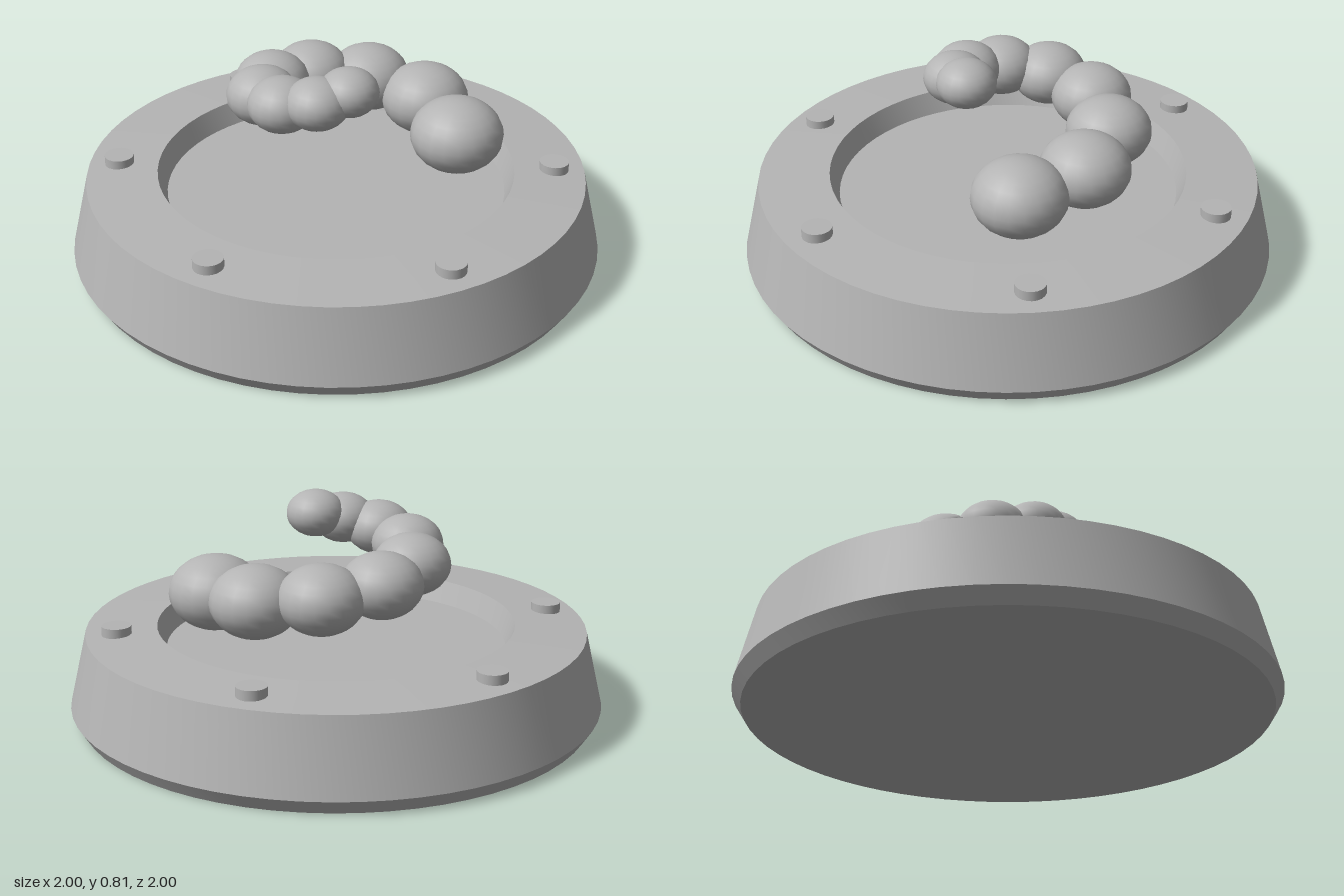
import * as THREE from 'three';
import { toCreasedNormals } from 'three/addons/utils/BufferGeometryUtils.js';

const grey = new THREE.MeshStandardMaterial({ color: 0xb4b4b4 });
grey.name = 'plain grey';

function addPart(parent, name, geometry, x = 0, y = 0, z = 0) {
  const mesh = new THREE.Mesh(geometry, grey);
  mesh.name = name;
  mesh.position.set(x, y, z);
  parent.add(mesh);
  return mesh;
}

export function createModel() {
  const model = new THREE.Group();
  model.name = 'spiralOnDish';

  // Round base: chamfered foot, tapered side, sloping rim and sunken floor
  const profile = [
    [0, 0], [0.965, 0], [1, 0.055], [0.935, 0.33],
    [0.67, 0.345], [0.637, 0.26], [0, 0.26],
  ].map(([r, y]) => new THREE.Vector2(r, y));
  addPart(model, 'base', toCreasedNormals(new THREE.LatheGeometry(profile, 64), 0.5));

  // Six studs around the rim
  const studs = new THREE.Group();
  studs.name = 'studs';
  model.add(studs);
  const studGeometry = new THREE.CylinderGeometry(0.055, 0.055, 0.05, 20);
  for (let i = 0; i < 6; i++) {
    const a = (i * Math.PI) / 3;
    addPart(studs, 'stud', studGeometry, 0.82 * Math.cos(a), 0.345, 0.82 * Math.sin(a));
  }

  // Flattened balls, shrinking as they spiral inward and upward
  const spiral = new THREE.Group();
  spiral.name = 'spiral';
  model.add(spiral);
  const ballGeometry = new THREE.SphereGeometry(1, 20, 14);
  for (let i = 0; i < 9; i++) {
    const a = (i * Math.PI) / 5;
    const reach = 0.45 - 0.0359 * i;
    const size = 0.175 - 0.008 * i;
    const ball = addPart(spiral, 'ball', ballGeometry,
      reach * Math.cos(a), 0.48 + 0.0305 * i, -reach * Math.sin(a));
    ball.scale.set(size, size * 0.8, size);
  }

  return model;
}
